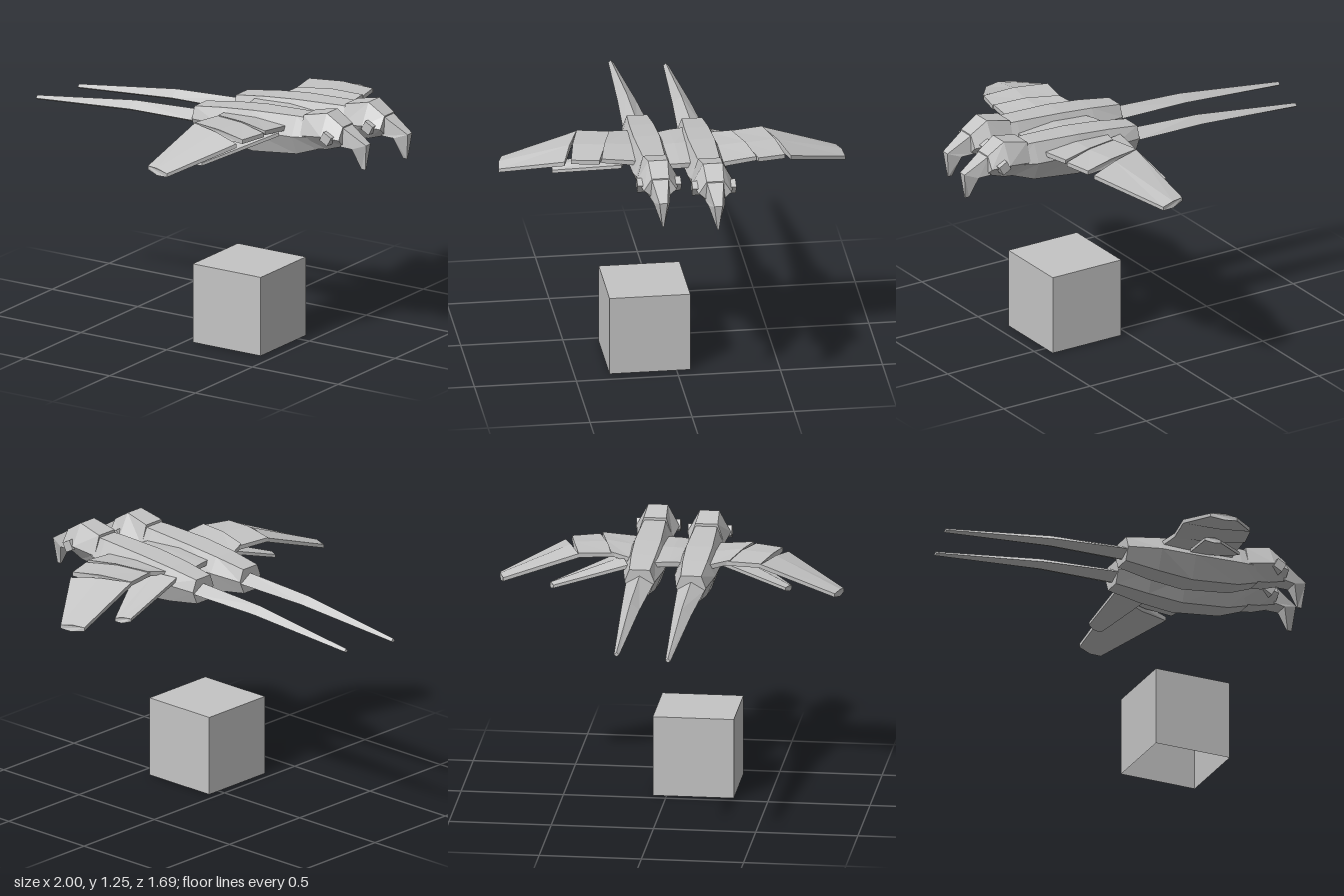
import * as THREE from 'three';

const grey = new THREE.MeshStandardMaterial({ color: 0xc4c4c4, flatShading: true, side: THREE.DoubleSide });
grey.name = 'plain grey';

// Skin a list of equal-length cross-sections, cap both ends, face outward
function loft(name, sections) {
  const tris = [];
  const n = sections[0].length;
  for (let s = 0; s < sections.length - 1; s++) {
    const a = sections[s], b = sections[s + 1];
    for (let i = 0; i < n; i++) {
      const j = (i + 1) % n;
      tris.push([a[i], a[j], b[j]], [a[i], b[j], b[i]]);
    }
  }
  const first = sections[0], last = sections[sections.length - 1];
  for (let i = 1; i < n - 1; i++) {
    tris.push([first[0], first[i + 1], first[i]], [last[0], last[i], last[i + 1]]);
  }
  // Signed volume about a point on the shape decides the winding
  const v = (p) => new THREE.Vector3(...p).sub(new THREE.Vector3(...first[0]));
  const volume = tris.reduce((sum, [a, b, c]) => sum + v(a).dot(v(b).cross(v(c))), 0);
  if (volume < 0) tris.forEach((t) => t.reverse());
  const geometry = new THREE.BufferGeometry();
  geometry.setAttribute('position', new THREE.Float32BufferAttribute(tris.flat(2), 3));
  geometry.computeVertexNormals();
  const mesh = new THREE.Mesh(geometry, grey);
  mesh.name = name;
  return mesh;
}

// One bird facing +x; side = +1 or -1 puts its spread wing on that side of z
function bird(name, side, dx) {
  const group = new THREE.Group();
  group.name = name;
  const place = (sections) => sections.map((sec) => sec.map(([x, y, z]) => [x + dx, y, z * side]));
  const add = (part, sections) => group.add(loft(part, place(sections)));
  const C = 0.13; // body centre line

  // Six-sided section: low, middle and top heights with half widths
  const hex = ([x, yb, ym, yt, wb, wm, wt]) => [
    [x, yt, C - wt], [x, yt, C + wt], [x, ym, C + wm],
    [x, yb, C + wb], [x, yb, C - wb], [x, ym, C - wm],
  ];
  // Diamond section for the tail
  const diamond = ([x, yb, ym, yt, w]) => [[x, yt, C], [x, ym, C + w], [x, yb, C], [x, ym, C - w]];

  add('tail', [
    [-1, 1.003, 1.012, 1.025, 0.013],
    [-0.43, 1.045, 1.065, 1.1, 0.045],
    [-0.04, 1.05, 1.08, 1.12, 0.068],
  ].map(diamond));

  add('body', [
    [-0.05, 1.025, 1.09, 1.15, 0.045, 0.073, 0.05],
    [0.12, 1.0, 1.1, 1.175, 0.058, 0.1, 0.06],
    [0.3, 0.985, 1.1, 1.193, 0.062, 0.105, 0.064],
    [0.55, 1.012, 1.11, 1.205, 0.055, 0.1, 0.055],
    [0.66, 1.05, 1.12, 1.205, 0.04, 0.08, 0.045],
  ].map(hex));

  add('head', [
    [0.59, 1.045, 1.12, 1.218, 0.045, 0.088, 0.055],
    [0.72, 1.062, 1.14, 1.247, 0.045, 0.105, 0.048],
    [0.81, 1.09, 1.13, 1.19, 0.035, 0.08, 0.042],
  ].map(hex));

  // Hooked beak, bending from forward to straight down
  const beak = ([xf, yf, wf], [xb, yb, wb]) => [
    [xf, yf, C - wf], [xf, yf, C + wf], [xb, yb, C + wb], [xb, yb, C - wb],
  ];
  add('beak', [
    beak([0.8, 1.19, 0.042], [0.8, 1.09, 0.05]),
    beak([0.93, 1.11, 0.02], [0.86, 1.085, 0.04]),
    beak([0.915, 0.98, 0.004], [0.893, 0.98, 0.004]),
  ]);

  // Eyes: small tilted blocks on both cheeks
  for (const s of [-1, 1]) {
    const eye = new THREE.Mesh(new THREE.BoxGeometry(0.05, 0.05, 0.045), grey);
    eye.position.set(0.75 + dx, 1.135, side * (C + s * 0.085));
    eye.rotation.z = -0.5;
    eye.name = 'eye';
    group.add(eye);
  }

  // Wing section between a trailing and a leading edge point, ridged along the middle
  const blade = ([tx, ty, tz], [lx, ly, lz], t = 0.03) => {
    const mx = tx + (lx - tx) * 0.52, my = (ty + ly) / 2, mz = (tz + lz) / 2 + 0.006;
    return [
      [tx, ty + t * 0.3, tz], [mx, my + t * 0.6, mz], [lx, ly + t * 0.3, lz],
      [lx, ly - t * 0.3, lz], [mx, my - t * 0.6, mz], [tx, ty - t * 0.3, tz],
    ];
  };
  add('wingRoot', [
    blade([0.13, 1.14, 0.19], [0.5, 1.14, 0.2], 0.04),
    blade([0.165, 1.16, 0.295], [0.49, 1.158, 0.375], 0.035),
  ]);
  add('wingMiddle', [
    blade([0.16, 1.155, 0.28], [0.49, 1.15, 0.385], 0.035),
    blade([0.13, 1.158, 0.45], [0.455, 1.145, 0.52], 0.035),
  ]);
  add('wingTip', [
    blade([0.13, 1.155, 0.45], [0.44, 1.13, 0.55], 0.035),
    blade([0.1, 1.03, 0.815], [0.23, 1.02, 0.845], 0.03),
  ]);

  // Smaller second wing, swept forward on one bird and back on the other
  add('lowerWing', side > 0 ? [
    blade([0.28, 1.13, 0.2], [0.51, 1.13, 0.28]),
    blade([0.19, 1.025, 0.565], [0.265, 1.015, 0.587], 0.026),
  ] : [
    blade([0.06, 1.13, 0.2], [0.27, 1.13, 0.26]),
    blade([0.03, 1.025, 0.56], [0.11, 1.015, 0.587], 0.026),
  ]);
  return group;
}

// Hollow block, open underneath
function block() {
  const box = new THREE.BoxGeometry(0.396, 0.4, 0.396);
  const index = Array.from(box.index.array);
  index.splice(18, 6); // drop the bottom face
  box.setIndex(index);
  const mesh = new THREE.Mesh(box, grey);
  mesh.position.set(0.237, 0.2, 0.131);
  mesh.name = 'openBlock';
  return mesh;
}

export function createModel() {
  const model = new THREE.Group();
  model.name = 'twoBirdsOverBlock';
  model.add(bird('frontBird', 1, 0), bird('rearBird', -1, 0.07), block());

  // Short inner wing joining the two bodies
  const inner = (z, x0, x1, y) => [[x0, y, z], [0.35, y + 0.015, z], [x1, y, z], [x1, y - 0.025, z], [0.35, y - 0.04, z], [x0, y - 0.025, z]];
  model.add(loft('innerWing', [
    inner(-0.1, 0.13, 0.56, 1.155), inner(0, 0.15, 0.565, 1.155), inner(0.08, 0.17, 0.555, 1.15),
  ]));
  return model;
}
